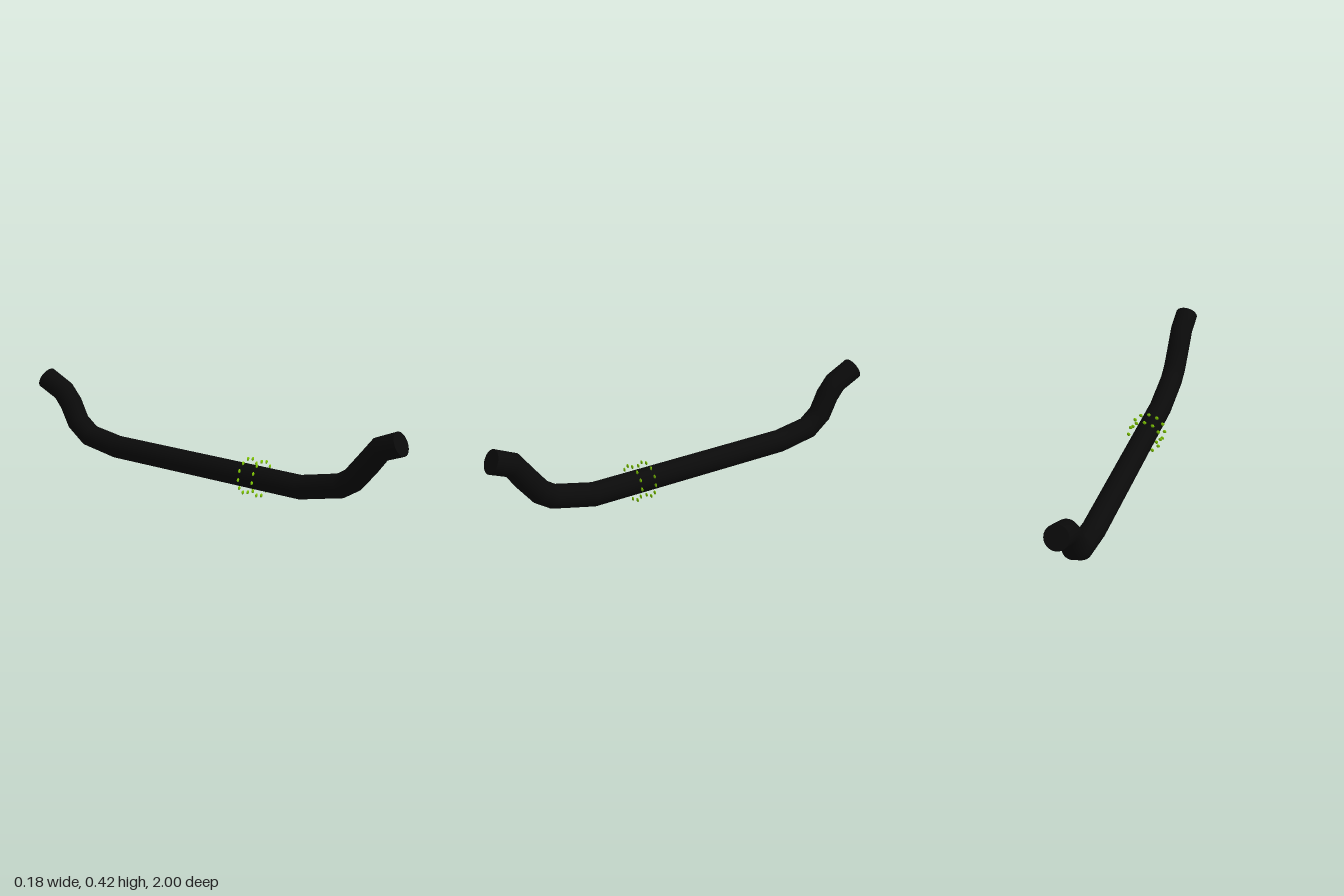
import * as THREE from 'three';

const RADIUS = 0.054;
const SIDES = 40;

// Centre line of the bar, back to front, as [z, y]
const PATH = [
  [-0.977, 0.369], [-0.87, 0.318], [-0.823, 0.262], [-0.78, 0.176], [-0.705, 0.118], [-0.533, 0.09],
  [0.5, 0.09], [0.7, 0.136], [0.759, 0.174], [0.823, 0.252], [0.885, 0.333], [0.977, 0.371],
];

// Tube swept through the path, one ring per bend
function sweptBar(points, tangents) {
  const positions = [], index = [];
  points.forEach((p, i) => {
    const t = tangents[i];
    for (let j = 0; j < SIDES; j++) {
      const a = (j / SIDES) * Math.PI * 2;
      const s = Math.sin(a) * RADIUS;
      positions.push(Math.cos(a) * RADIUS, p.y + s * t.z, p.z - s * t.y);
      if (i === points.length - 1) continue;
      const k = (j + 1) % SIDES, r = i * SIDES, n = r + SIDES;
      index.push(r + j, r + k, n + j, r + k, n + k, n + j);
    }
  });
  const geometry = new THREE.BufferGeometry();
  geometry.setAttribute('position', new THREE.Float32BufferAttribute(positions, 3));
  geometry.setIndex(index);
  geometry.computeVertexNormals();
  return geometry;
}

export function createModel() {
  const model = new THREE.Group();
  model.name = 'curvedBar';
  const black = new THREE.MeshStandardMaterial({ color: 0x0a0a0a });
  black.name = 'black';
  const green = new THREE.MeshStandardMaterial({ color: 0x80c800 });
  green.name = 'limeGreen';

  const points = PATH.map(([z, y]) => new THREE.Vector3(0, y, z));
  const last = points.length - 1;
  const directions = points.slice(1).map((p, i) => p.clone().sub(points[i]).normalize());
  const tangents = points.map((p, i) =>
    directions[Math.max(i - 1, 0)].clone().add(directions[Math.min(i, last - 1)]).normalize());
  // Square the tips to the slope of the cut ends
  tangents[0].set(0, -0.43, 0.9).normalize();
  tangents[last].set(0, 0.43, 0.9).normalize();

  const bar = new THREE.Mesh(sweptBar(points, tangents), black);
  bar.name = 'bar';
  model.add(bar);

  // Flat end caps
  const capGeometry = new THREE.CircleGeometry(RADIUS, SIDES);
  const forward = new THREE.Vector3(0, 0, 1);
  for (const [name, i, sign] of [['backCap', 0, -1], ['frontCap', last, 1]]) {
    const cap = new THREE.Mesh(capGeometry, black);
    cap.name = name;
    cap.position.copy(points[i]);
    cap.quaternion.setFromUnitVectors(forward, tangents[i].clone().multiplyScalar(sign));
    model.add(cap);
  }

  // Two rings of flattened beads floating around the bar
  const beadGeometry = new THREE.SphereGeometry(0.009, 16, 12).scale(1, 1, 0.4);
  for (const [name, z] of [['frontBeadRing', 0.298], ['rearBeadRing', 0.225]]) {
    const ring = new THREE.Group();
    ring.name = name;
    ring.position.set(0, 0.09, z);
    for (let i = 0; i < 12; i++) {
      const a = (i / 12) * Math.PI * 2;
      const bead = new THREE.Mesh(beadGeometry, green);
      bead.name = 'bead';
      bead.position.set(Math.cos(a) * 0.079, Math.sin(a) * 0.079, 0);
      ring.add(bead);
    }
    model.add(ring);
  }
  return model;
}
